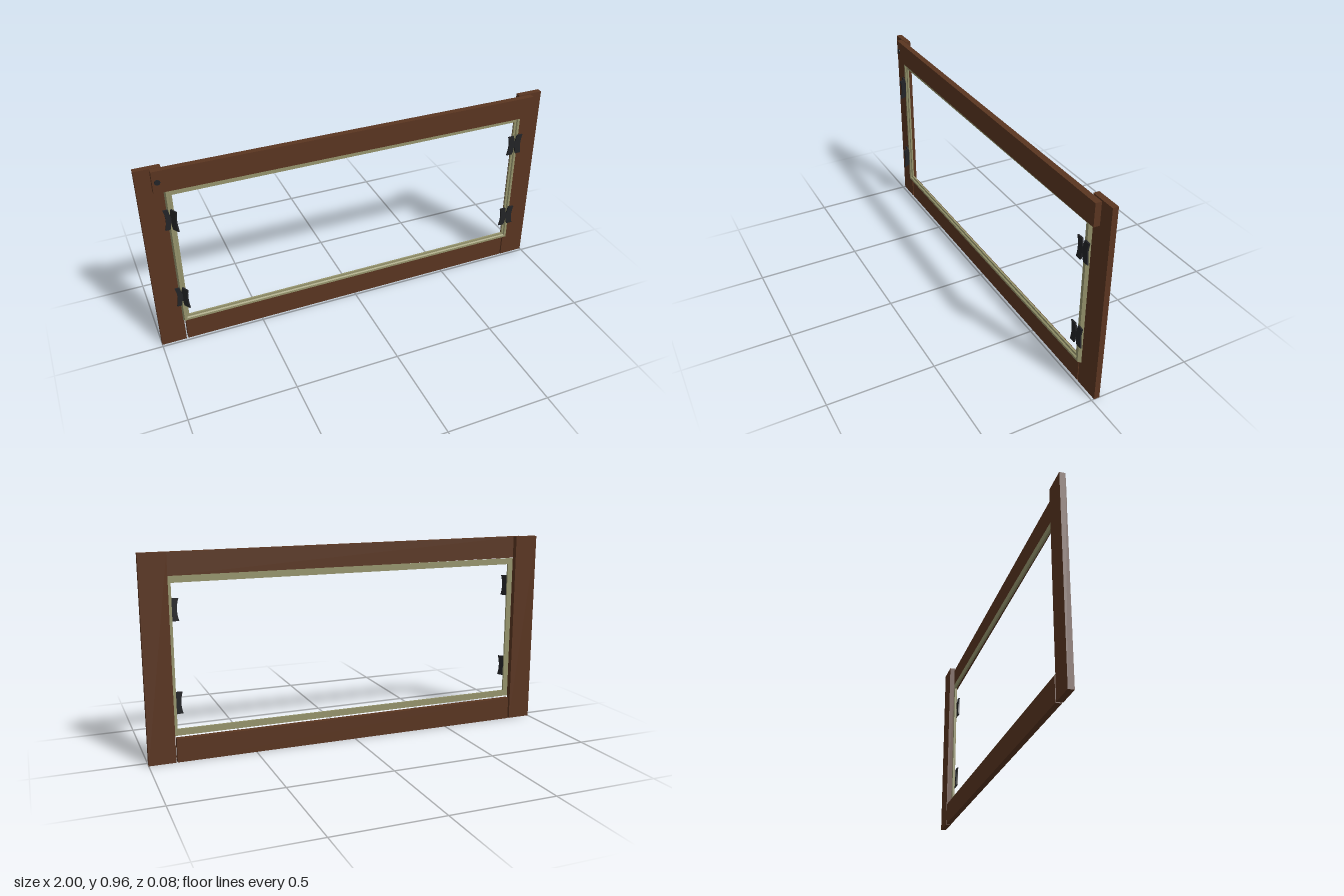
import * as THREE from 'three';

const wood = new THREE.MeshStandardMaterial({ color: 0x5a3520, flatShading: true });
const olive = new THREE.MeshStandardMaterial({ color: 0x96946c, flatShading: true });
const iron = new THREE.MeshStandardMaterial({ color: 0x232427, flatShading: true });

// Plank given by its extents
function plank(name, x0, x1, y0, y1, z0, z1) {
  const mesh = new THREE.Mesh(new THREE.BoxGeometry(x1 - x0, y1 - y0, z1 - z0), wood);
  mesh.position.set((x0 + x1) / 2, (y0 + y1) / 2, (z0 + z1) / 2);
  mesh.name = name;
  return mesh;
}

// Moulding profile [inset, z] swept around a rectangle with mitred corners
function mouldedFrame(x0, x1, y0, y1, profile) {
  const corner = (k, [inset, z]) => {
    const x = k === 1 || k === 2 ? x1 - inset : x0 + inset;
    const y = k >= 2 ? y1 - inset : y0 + inset;
    return [x, y, z];
  };
  const pos = [];
  for (let k = 0; k < 4; k++) {
    const n = (k + 1) % 4;
    profile.forEach((p, j) => {
      const q = profile[(j + 1) % profile.length];
      const a = corner(k, p), b = corner(n, p), c = corner(n, q), d = corner(k, q);
      pos.push(...a, ...b, ...c, ...a, ...c, ...d);
    });
  }
  const geo = new THREE.BufferGeometry();
  geo.setAttribute('position', new THREE.Float32BufferAttribute(pos, 3));
  geo.computeVertexNormals();
  return geo;
}

// Hinge leaf: a strip extending to +x whose two long edges bow toward the pin
function leafGeometry(width) {
  const h = 0.052, bow = 0.016;
  const s = new THREE.Shape();
  s.moveTo(0.006, -h);
  s.quadraticCurveTo(0.006 - bow, 0, 0.006, h);
  s.lineTo(width, h - 0.001);
  s.quadraticCurveTo(width - bow, 0, width, -h + 0.001);
  s.closePath();
  return new THREE.ExtrudeGeometry(s, { depth: 0.007, bevelEnabled: false, curveSegments: 8 });
}

// Hinge with one leaf on the post and the other turned by an opening angle
function hinge(name, x, y, outerWidth, innerWidth, side, openAngle, shift) {
  const g = new THREE.Group();
  g.name = name;
  const outer = new THREE.Mesh(leafGeometry(outerWidth), iron);
  outer.name = 'postLeaf';
  outer.position.set(0.004, 0, 0);
  const inner = new THREE.Mesh(leafGeometry(innerWidth), iron);
  inner.name = 'frameLeaf';
  const swing = new THREE.Group();
  swing.add(inner);
  swing.position.set(-0.004, shift, 0);
  swing.rotation.y = Math.PI + openAngle;
  // Flat leaves keep their thickness in front of the frame
  if (openAngle === 0) inner.position.z = -0.007;
  const pin = new THREE.Mesh(new THREE.CylinderGeometry(0.004, 0.004, 0.034, 8), iron);
  pin.name = 'hingePin';
  pin.position.z = 0.004;
  g.add(outer, swing, pin);
  g.position.set(x, y, 0.003);
  // Turn the assembly half a turn so that the post leaf faces outward
  if (side < 0) {
    outer.rotation.y = Math.PI;
    outer.position.set(-0.004, 0, 0.007);
    swing.position.x = 0.004;
    swing.rotation.y = -openAngle;
  }
  return g;
}

export function createModel() {
  const model = new THREE.Group();
  model.name = 'hingedWindowFrame';

  // Posts and bottom rail
  model.add(
    plank('rightPost', -1, -0.882, 0, 0.96, -0.04, -0.013),
    plank('leftPost', 0.876, 1, 0, 0.957, -0.04, -0.013),
    plank('bottomRail', -0.873, 0.87, 0, 0.112, -0.04, -0.014)
  );

  // Slightly crooked top rail in front of the posts
  const topRail = plank('topRail', -0.932, 0.937, 0.849, 0.956, -0.0115, 0.0175);
  topRail.rotation.set(0, -0.002, -0.003);
  model.add(topRail);

  // Bolt head on the top rail
  const bolt = new THREE.Mesh(new THREE.CylinderGeometry(0.013, 0.013, 0.01, 12), iron);
  bolt.name = 'boltHead';
  bolt.rotation.x = Math.PI / 2;
  bolt.position.set(-0.91, 0.905, 0.014);
  model.add(bolt);

  // Moulded inner frame
  const profile = [[0, -0.013], [0.006, 0.003], [0.017, 0.003], [0.021, -0.004], [0.031, -0.004], [0.031, -0.013]];
  const frame = new THREE.Mesh(mouldedFrame(-0.886, 0.89, 0.118, 0.85, profile), olive);
  frame.name = 'innerFrame';
  model.add(frame);

  // Swung-open hinges on one side, flat ones on the other
  for (const [label, y] of [['upper', 0.705], ['lower', 0.276]]) {
    model.add(hinge(label + 'RightHinge', -0.874, y, 0.028, 0.042, -1, 1.05, 0));
    model.add(hinge(label + 'LeftHinge', 0.866, y - 0.007, 0.036, 0.036, 1, 0, -0.002));
  }
  return model;
}
